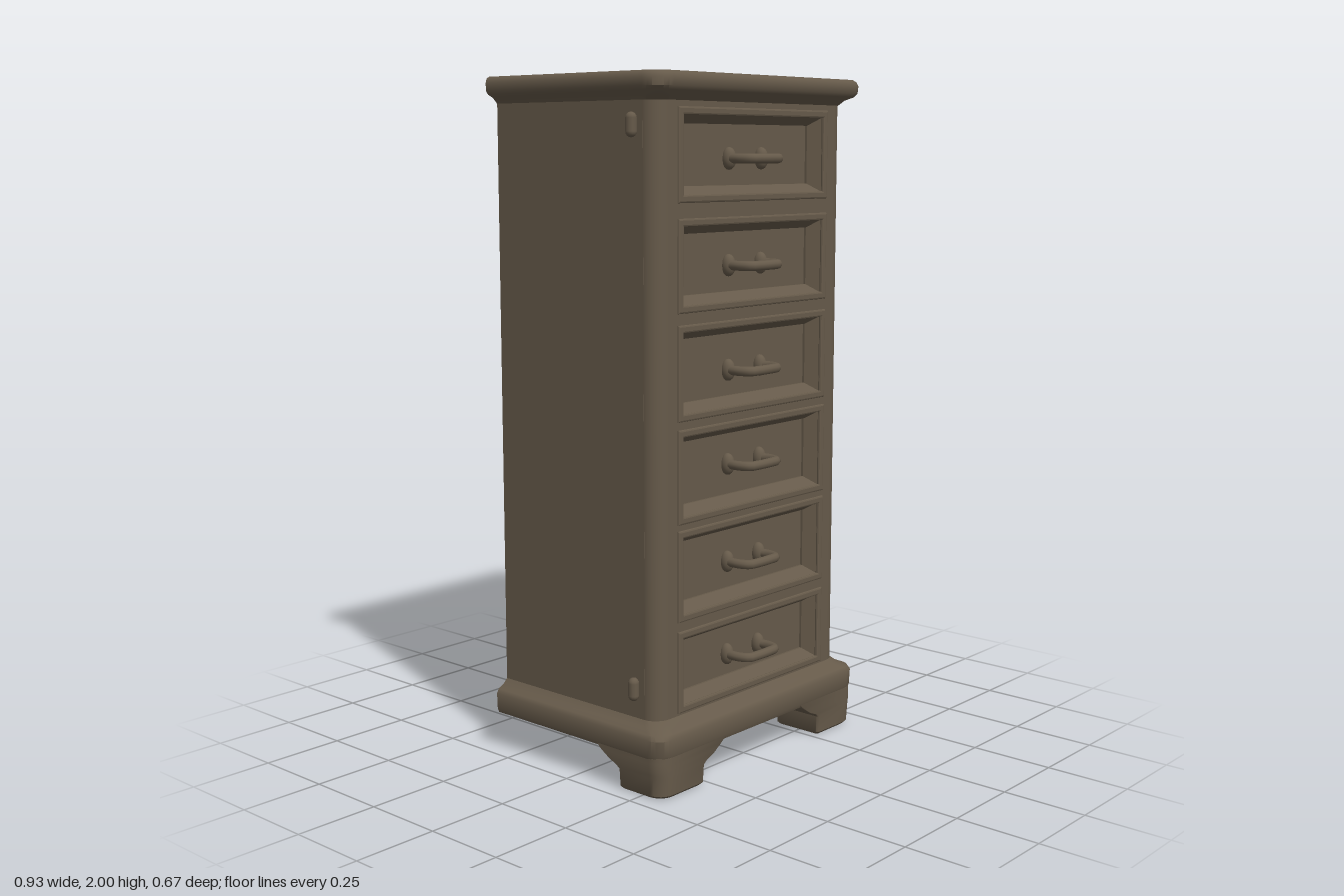
import * as THREE from 'three';
import { toCreasedNormals } from 'three/addons/utils/BufferGeometryUtils.js';

const wood = new THREE.MeshStandardMaterial({ color: 0x665a4a });
wood.name = 'brown wood';

const BACK = -0.335;

function part(name, geometry, parent) {
  const mesh = new THREE.Mesh(geometry, wood);
  mesh.name = name;
  parent.add(mesh);
  return mesh;
}

// Outline in plan: square at the back, rounded at the two front corners
function outline({ xl, xr, zb, zf, rl, rr }) {
  const pts = [[xl, zb]];
  const steps = 6;
  for (let i = 0; i <= steps; i++) {
    const a = (i / steps) * Math.PI / 2;
    pts.push([xl + rl - rl * Math.cos(a), zf - rl + rl * Math.sin(a)]);
  }
  for (let i = 0; i <= steps; i++) {
    const a = (i / steps) * Math.PI / 2;
    pts.push([xr - rr + rr * Math.sin(a), zf - rr + rr * Math.cos(a)]);
  }
  pts.push([xr, zb]);
  return pts;
}

// Closed solid through plan outlines stacked from bottom to top
function loft(layers) {
  const pos = [];
  const rings = layers.map(l => outline(l).map(([x, z]) => [x, l.y, z]));
  const n = rings[0].length;
  const tri = (a, b, c) => pos.push(...a, ...b, ...c);
  for (let k = 0; k < rings.length - 1; k++) {
    for (let i = 0; i < n; i++) {
      const j = (i + 1) % n, a = rings[k], b = rings[k + 1];
      tri(a[i], a[j], b[j]);
      tri(a[i], b[j], b[i]);
    }
  }
  [[0, true], [rings.length - 1, false]].forEach(([k, down]) => {
    const l = layers[k], r = rings[k];
    const c = [(l.xl + l.xr) / 2, l.y, (l.zb + l.zf) / 2];
    for (let i = 0; i < n; i++) {
      const j = (i + 1) % n;
      if (down) tri(c, r[j], r[i]); else tri(c, r[i], r[j]);
    }
  });
  const g = new THREE.BufferGeometry();
  g.setAttribute('position', new THREE.Float32BufferAttribute(pos, 3));
  return toCreasedNormals(g, 0.7);
}

// Symmetric moulding from [y, half width, front z, corner radius]
const moulding = rows => loft(rows.map(([y, w, zf, r]) =>
  ({ y, xl: -w, xr: w, zb: BACK, zf, rl: r, rr: r })));

function rect(target, x0, y0, x1, y1) {
  target.moveTo(x0, y0).lineTo(x1, y0).lineTo(x1, y1).lineTo(x0, y1).closePath();
  return target;
}

export function createModel() {
  const model = new THREE.Group();
  model.name = 'tallChest';

  // Carcass
  const core = part('carcass', new THREE.BoxGeometry(0.84, 1.78, 0.57), model);
  core.position.set(0, 1.06, BACK + 0.285);

  // Rounded front corner posts
  for (const s of [-1, 1]) {
    const post = part('cornerPost', new THREE.CylinderGeometry(0.05, 0.05, 1.78, 24), model);
    post.position.set(s * 0.37, 1.06, 0.232);
  }

  // Drawer openings: bottom, top, handle height
  const drawers = [
    [0.235, 0.435, 0.325], [0.5, 0.725, 0.605], [0.78, 1.01, 0.895],
    [1.07, 1.3, 1.17], [1.37, 1.59, 1.47], [1.67, 1.89, 1.77]
  ];
  const X = 0.315;

  // Front frame with sloping recesses
  const frame = rect(new THREE.Shape(), -0.37, 0.17, 0.37, 1.95);
  drawers.forEach(([y0, y1]) => frame.holes.push(rect(new THREE.Path(), -X, y0, X, y1)));
  const frameGeo = new THREE.ExtrudeGeometry(frame, {
    depth: 0.01, bevelEnabled: true, bevelThickness: 0.04, bevelSize: 0.025, bevelSegments: 1
  });
  part('frontFrame', frameGeo, model).position.z = 0.282 - 0.05;

  drawers.forEach(([y0, y1, hy], i) => {
    const drawer = new THREE.Group();
    drawer.name = 'drawer' + (i + 1);
    model.add(drawer);

    // Raised lip around the recess
    const lip = rect(new THREE.Shape(), -X - 0.014, y0 - 0.014, X + 0.014, y1 + 0.014);
    lip.holes.push(rect(new THREE.Path(), -X - 0.002, y0 - 0.002, X + 0.002, y1 + 0.002));
    part('drawerLip', new THREE.ExtrudeGeometry(lip, {
      depth: 0.002, bevelEnabled: true, bevelThickness: 0.005, bevelSize: 0.005, bevelSegments: 2
    }), drawer).position.z = 0.281;

    // Bail handle
    const path = new THREE.CatmullRomCurve3([
      [-0.072, 0.235], [-0.074, 0.285], [-0.06, 0.317], [-0.03, 0.322],
      [0.03, 0.322], [0.06, 0.317], [0.074, 0.285], [0.072, 0.235]
    ].map(([x, z]) => new THREE.Vector3(x, 0, z)));
    part('handle', new THREE.TubeGeometry(path, 32, 0.014, 10), drawer).position.y = hy;
    for (const s of [-1, 1]) {
      const plate = part('handleMount', new THREE.SphereGeometry(1, 14, 10), drawer);
      plate.scale.set(0.02, 0.032, 0.022);
      plate.position.set(s * 0.072, hy, 0.243);
    }
  });

  // Top board
  part('topBoard', moulding([
    [1.925, 0.421, 0.283, 0.05], [1.94, 0.435, 0.3, 0.055], [1.95, 0.455, 0.322, 0.06],
    [1.96, 0.462, 0.33, 0.06], [1.982, 0.463, 0.332, 0.06], [1.994, 0.459, 0.327, 0.06],
    [2, 0.45, 0.318, 0.055]
  ]), model);

  // Plinth
  part('plinth', moulding([
    [0.112, 0.455, 0.325, 0.05], [0.125, 0.46, 0.33, 0.05], [0.172, 0.462, 0.332, 0.05],
    [0.185, 0.455, 0.325, 0.05], [0.195, 0.435, 0.3, 0.05], [0.21, 0.421, 0.283, 0.05]
  ]), model);

  // Front bracket feet: y, inner x, back z, outer x, front z
  const footRows = [
    [0, 0.277, 0.175, 0.443, 0.318], [0.008, 0.27, 0.168, 0.45, 0.326],
    [0.06, 0.268, 0.167, 0.453, 0.328], [0.07, 0.255, 0.155, 0.455, 0.328],
    [0.082, 0.225, 0.13, 0.456, 0.328], [0.095, 0.205, 0.11, 0.457, 0.328],
    [0.105, 0.19, 0.095, 0.457, 0.328], [0.12, 0.17, 0.08, 0.457, 0.328]
  ];
  for (const s of [-1, 1]) {
    part(s > 0 ? 'leftFoot' : 'rightFoot', loft(footRows.map(([y, xi, zb, xo, zf]) => s > 0
      ? { y, xl: xi, xr: xo, zb, zf, rl: 0.008, rr: 0.045 }
      : { y, xl: -xo, xr: -xi, zb, zf, rl: 0.045, rr: 0.008 })), model);
  }

  // Small side hinges
  for (const y of [0.295, 1.86]) {
    const hinge = part('hinge', new THREE.CapsuleGeometry(0.016, 0.036, 4, 12), model);
    hinge.position.set(-0.428, y, 0.2);
  }

  return model;
}
